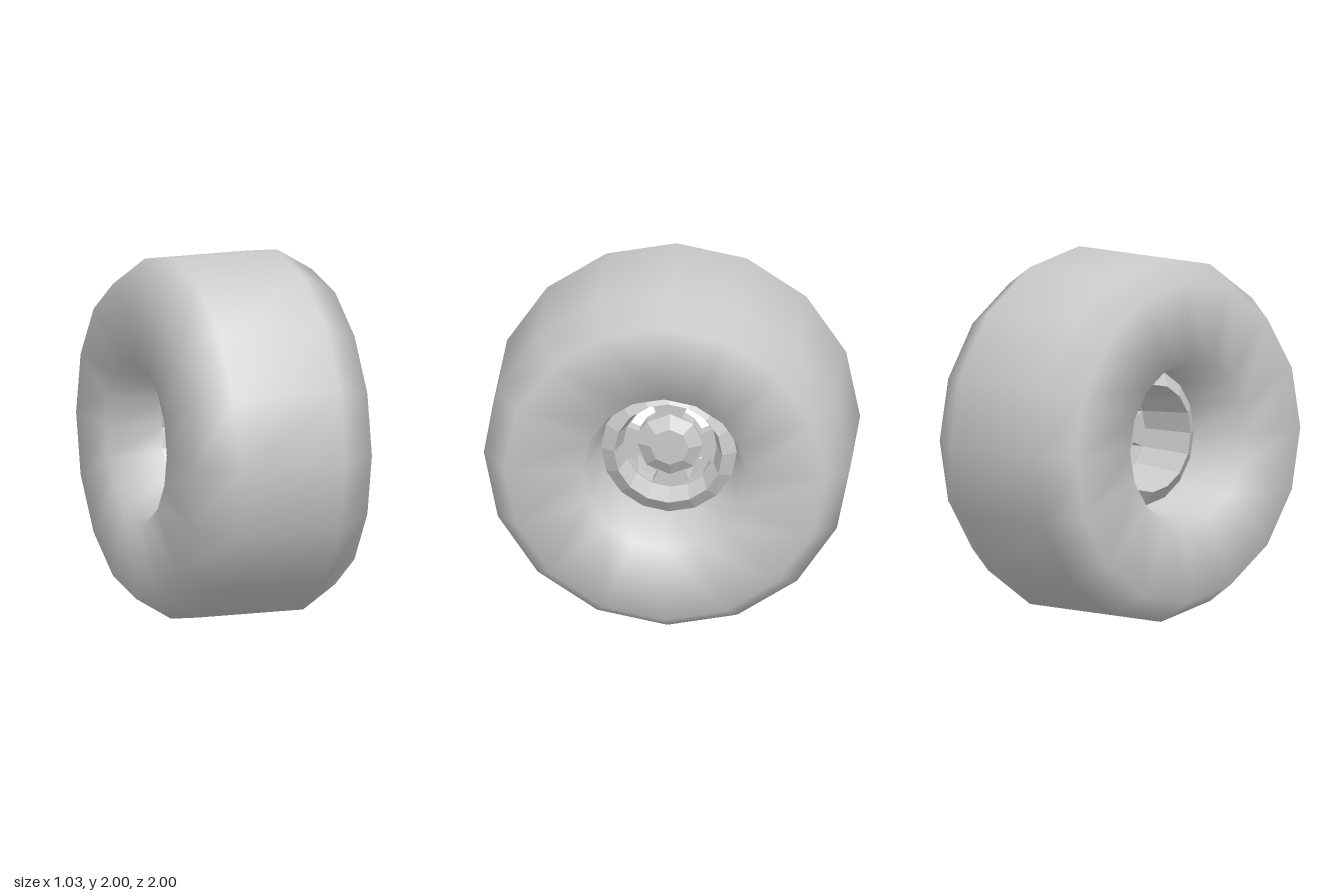
import * as THREE from 'three';

const SIDES = 16;

// Revolve a [radius, x] profile around the wheel's x axis.
function revolve(name, profile, flatShading, sides = SIDES) {
  const points = profile.map(([r, x]) => new THREE.Vector2(r, x));
  const material = new THREE.MeshStandardMaterial({ color: 0xcccccc, flatShading, side: THREE.DoubleSide });
  const mesh = new THREE.Mesh(new THREE.LatheGeometry(points, sides), material);
  mesh.rotation.z = -Math.PI / 2;
  mesh.name = name;
  return mesh;
}

// Point on a ring, counted in steps of one side.
function ringPoint(radius, step) {
  const a = (step / SIDES) * Math.PI * 2;
  return new THREE.Vector2(radius * Math.cos(a), radius * Math.sin(a));
}

// Disc with four windows, leaving four wedge-shaped spokes.
function createSpokes() {
  const outline = [];
  for (let i = 0; i < SIDES; i++) outline.push(ringPoint(0.265, i));
  const shape = new THREE.Shape(outline);
  for (let i = 0; i < 4; i++) {
    const s = i * 4;
    shape.holes.push(new THREE.Path([
      ringPoint(0.18, s + 1), ringPoint(0.18, s + 2), ringPoint(0.18, s + 3),
      ringPoint(0.25, s + 3), ringPoint(0.25, s + 2), ringPoint(0.25, s + 1),
    ]));
  }
  const geometry = new THREE.ExtrudeGeometry(shape, { depth: 0.07, bevelEnabled: false });
  const mesh = new THREE.Mesh(geometry, new THREE.MeshStandardMaterial({ color: 0xcccccc, flatShading: true }));
  mesh.rotation.y = Math.PI / 2;
  mesh.position.x = 0.06;
  mesh.name = 'spokes';
  return mesh;
}

export function createModel() {
  const wheel = new THREE.Group();
  wheel.name = 'wheel';

  // Wide tyre with bevelled shoulders and a deep-set bore
  wheel.add(revolve('tyre', [
    [0.37, -0.2], [0.45, -0.515], [0.875, -0.515], [1, -0.31],
    [1, 0.31], [0.875, 0.515], [0.45, 0.515], [0.37, 0.2],
  ], false));

  // Rim: raised lips on both sides and a tapered inner barrel
  wheel.add(revolve('rim', [
    [0.37, 0.2], [0.295, 0.25], [0.255, 0.13],
    [0.255, 0.06], [0.295, -0.25], [0.37, -0.2],
  ], true));

  wheel.add(createSpokes());

  // Eight-sided hub cap standing proud of the spokes
  wheel.add(revolve('hubCap', [[0.18, 0.13], [0.105, 0.17], [0, 0.17]], true, 8));

  wheel.position.y = 1;
  const model = new THREE.Group();
  model.add(wheel);
  return model;
}
